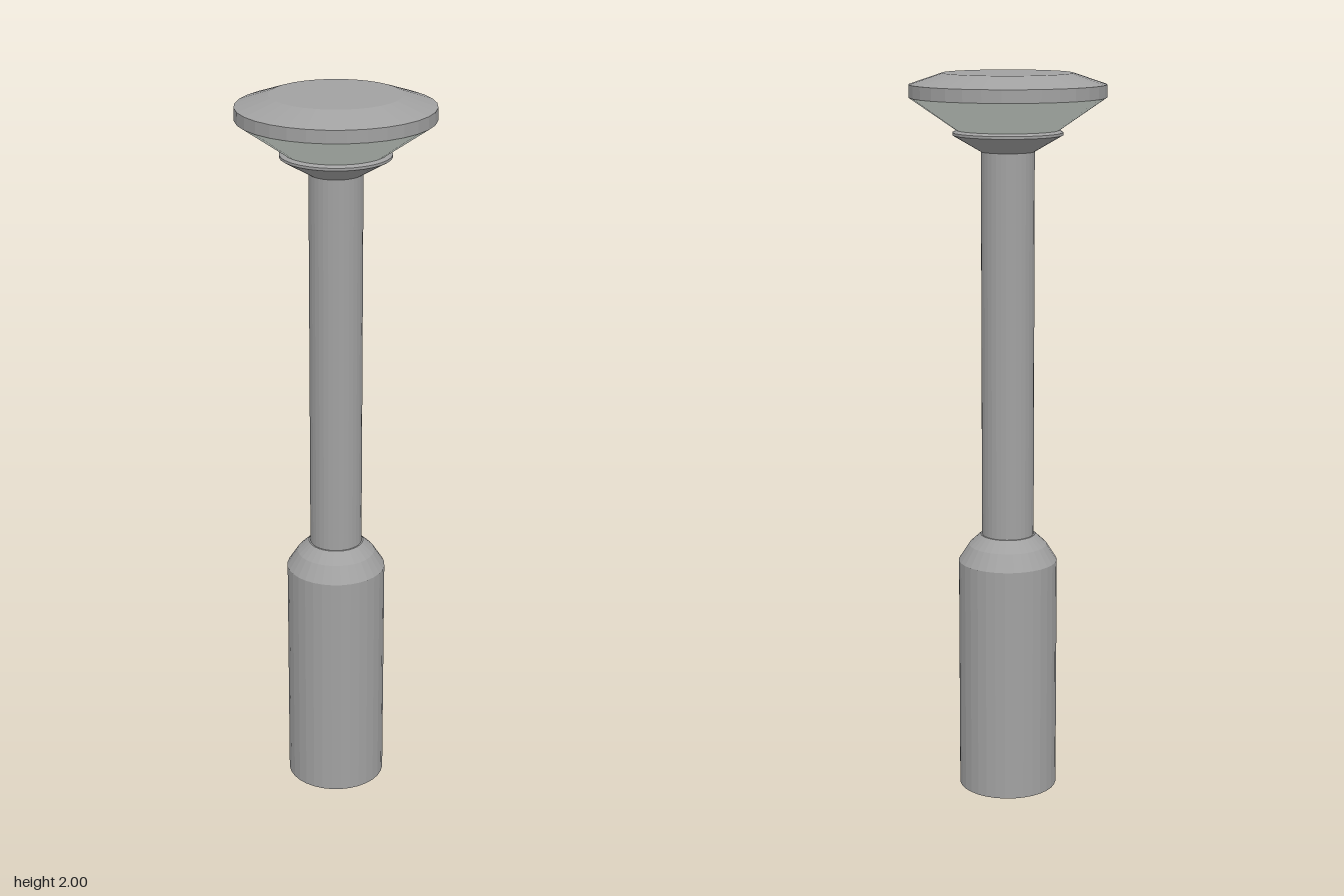
import * as THREE from 'three';

const SIDES = 32;

export function createModel() {
  const group = new THREE.Group();
  const metal = new THREE.MeshStandardMaterial({ color: 0xa1a1a1, flatShading: true });
  const glass = new THREE.MeshStandardMaterial({ color: 0xf3fdf3, flatShading: true });

  // Turned part from a [radius, height] profile, listed bottom to top
  function turned(name, profile, material = metal) {
    const points = profile.map(([r, y]) => new THREE.Vector2(r, y));
    const mesh = new THREE.Mesh(new THREE.LatheGeometry(points, SIDES), material);
    mesh.name = name;
    group.add(mesh);
  }

  // Wide foot with a rounded shoulder
  turned('base', [[0, 0], [0.137, 0], [0.137, 0.661], [0.108, 0.706], [0.076, 0.736], [0, 0.736]]);

  // Slim post
  turned('post', [[0.072, 0.73], [0.072, 1.8]]);

  // Flared collar under the lamp
  turned('collar', [[0, 1.793], [0.072, 1.793], [0.148, 1.837], [0.148, 1.844], [0.138, 1.85], [0, 1.85]]);

  // Tinted conical diffuser
  turned('diffuser', [[0.138, 1.85], [0.263, 1.936]], glass);

  // Bevelled cap
  turned('cap', [[0.263, 1.936], [0.263, 1.97], [0.174, 2], [0, 2]]);

  return group;
}
